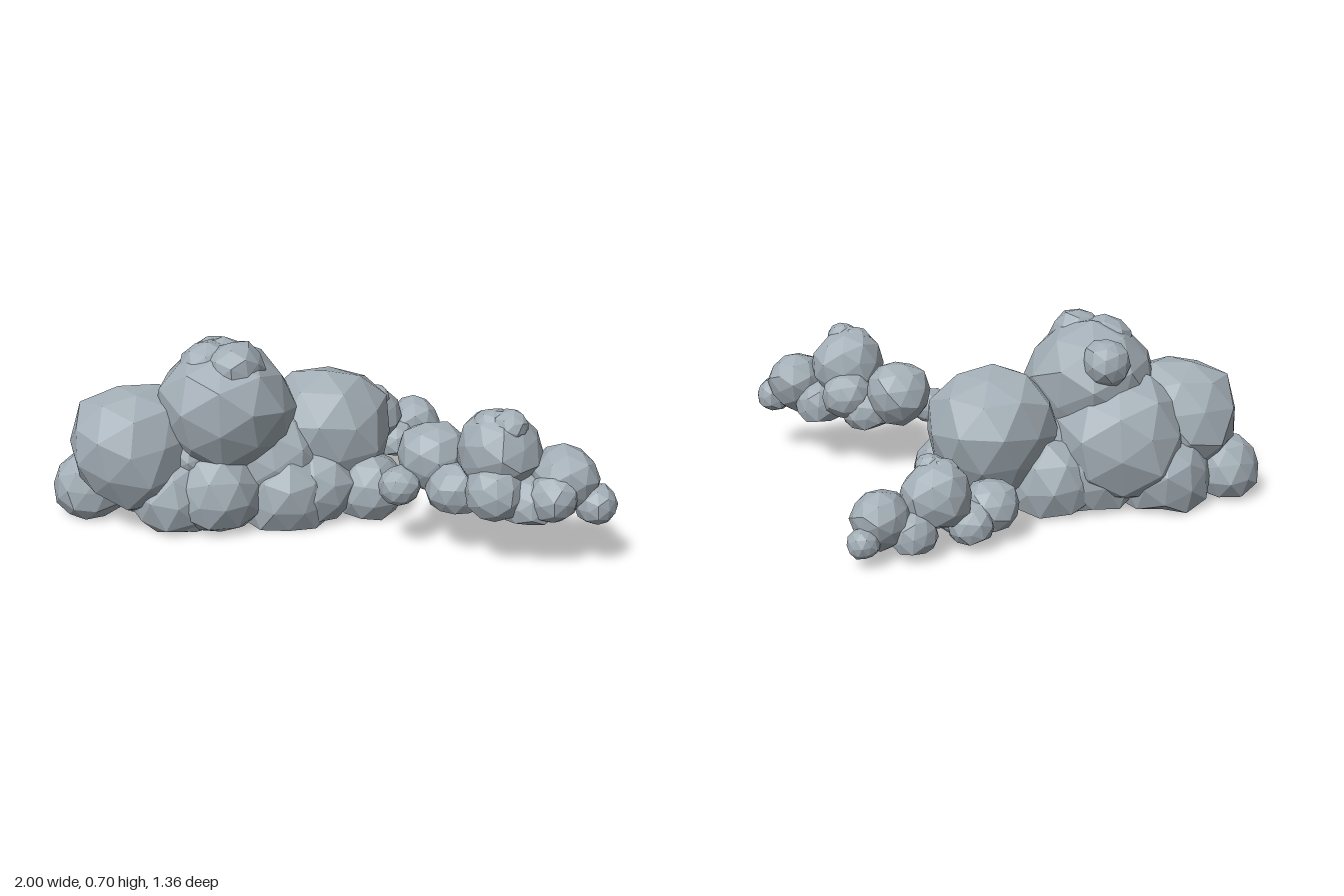
import * as THREE from 'three';

const cloudGrey = new THREE.MeshStandardMaterial({ color: 0xa2adb5, flatShading: true });
cloudGrey.name = 'cloudGrey';

const puff = (x, y, z, r) => ({ at: new THREE.Vector3(x, y, z), r });

// Faceted ball, turned and slightly roughened, with everything under the base pressed flat
function makePuff({ at, r }, base, seed) {
  const geo = new THREE.IcosahedronGeometry(1, 1);
  const turn = new THREE.Euler(seed * 1.3, seed * 2.1, seed * 0.7);
  const pos = geo.attributes.position;
  const v = new THREE.Vector3();
  for (let i = 0; i < pos.count; i++) {
    v.fromBufferAttribute(pos, i);
    const rough = 1 + 0.05 * Math.sin(v.x * 7 + v.y * 11 + v.z * 5 + seed * 3);
    v.applyEuler(turn).multiplyScalar(r * rough).add(at);
    pos.setXYZ(i, v.x, Math.max(base, v.y), v.z);
  }
  geo.computeVertexNormals();
  return new THREE.Mesh(geo, cloudGrey);
}

// Low puffs on both sides of each gap along the chain of main puffs
function skirtPuffs(chain, base) {
  return chain.slice(1).flatMap((b, i) => {
    const a = chain[i];
    const r = (a.r + b.r) / 2;
    const side = new THREE.Vector3(a.at.z - b.at.z, 0, b.at.x - a.at.x).setLength(r * 0.4);
    return [1, -1].map((s) => {
      const at = a.at.clone().lerp(b.at, 0.5).addScaledVector(side, s);
      at.y = base + r * 0.42;
      return { at, r: r * 0.74 };
    });
  });
}

// Two bumps on top of the tallest puff
function crownPuffs(chain) {
  const { at, r } = chain.reduce((a, b) => (b.at.y > a.at.y ? b : a));
  return [
    puff(at.x + r * 0.18, at.y + r * 0.64, at.z + r * 0.28, r * 0.43),
    puff(at.x - r * 0.2, at.y + r * 0.56, at.z + r * 0.05, r * 0.46),
  ];
}

function makeCloud(name, base, chain, extras) {
  const cloud = new THREE.Group();
  cloud.name = name;
  [...chain, ...skirtPuffs(chain, base), ...crownPuffs(chain), ...extras].forEach((p, i) => {
    const mesh = makePuff(p, base, i + 1);
    mesh.name = `${name}Puff${i + 1}`;
    cloud.add(mesh);
  });
  return cloud;
}

export function createModel() {
  const model = new THREE.Group();
  model.name = 'clouds';
  model.add(
    makeCloud('largeCloud', 0, [
      puff(-0.69, 0.29, 0.1, 0.24), puff(-0.46, 0.25, -0.02, 0.26),
      puff(-0.35, 0.43, 0.08, 0.255), puff(0.03, 0.285, -0.07, 0.25),
    ], [
      puff(-0.39, 0.56, -0.11, 0.09), // back bump
      puff(-0.38, 0.135, 0.16, 0.175), // front foot
      puff(-0.02, 0.12, 0.09, 0.16),
      puff(-0.18, 0.22, 0.04, 0.2), // filler between the big puffs
      puff(0.18, 0.1, 0.06, 0.145), // ends
      puff(-0.87, 0.1, 0.03, 0.135),
    ]),
    makeCloud('frontCloud', 0.18, [
      puff(0.39, 0.32, 0.31, 0.13), puff(0.6, 0.4, 0.46, 0.148),
      puff(0.82, 0.31, 0.51, 0.122),
    ], [
      puff(0.27, 0.24, 0.39, 0.073), // low ends
      puff(0.925, 0.235, 0.56, 0.075),
      puff(0.58, 0.28, 0.54, 0.105), // front feet
      puff(0.77, 0.27, 0.58, 0.09),
      puff(0.6, 0.3, 0.34, 0.1), // back foot
    ]),
    makeCloud('backCloud', 0.035, [
      puff(0.03, 0.12, -0.39, 0.103), puff(0.22, 0.2, -0.475, 0.127),
      puff(0.41, 0.14, -0.55, 0.107),
    ], [
      puff(0.465, 0.085, -0.63, 0.056), // low end
    ]),
  );
  return model;
}
